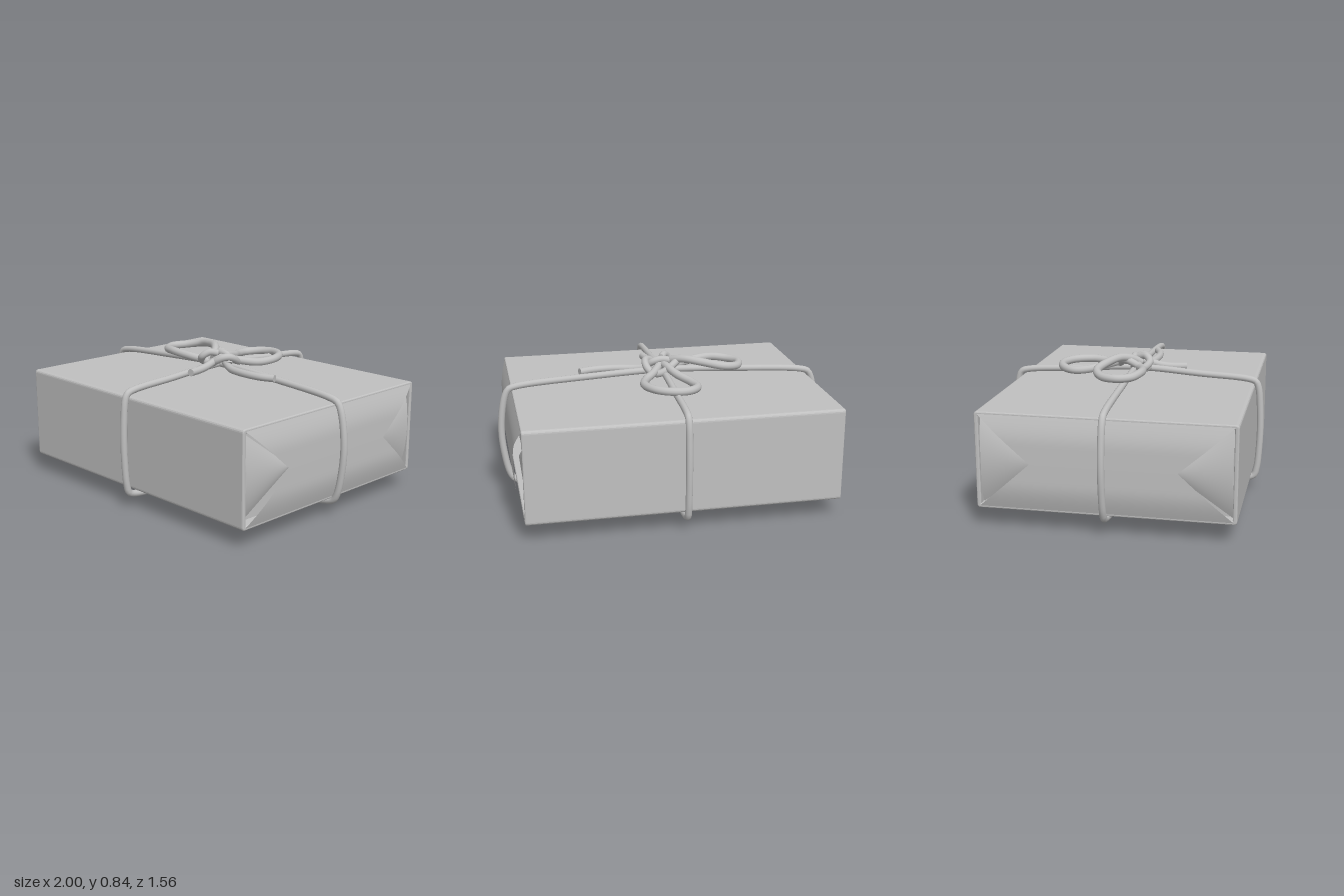
import * as THREE from 'three';

const V = (x, y, z) => new THREE.Vector3(x, y, z);

// Curved sheet from a rule f(u, v); the front lies on the side of du x dv
function sheet(f, nu, nv) {
  const pos = [], index = [];
  for (let i = 0; i <= nu; i++) {
    for (let j = 0; j <= nv; j++) pos.push(...f(i / nu, j / nv));
  }
  for (let i = 0; i < nu; i++) {
    for (let j = 0; j < nv; j++) {
      const a = i * (nv + 1) + j, b = a + nv + 1;
      index.push(a, b, b + 1, a, b + 1, a + 1);
    }
  }
  const g = new THREE.BufferGeometry();
  g.setAttribute('position', new THREE.Float32BufferAttribute(pos, 3));
  g.setIndex(index);
  g.computeVertexNormals();
  return g;
}

function roundedRect(shape, w, h, r) {
  shape.moveTo(-w + r, -h);
  shape.lineTo(w - r, -h).quadraticCurveTo(w, -h, w, -h + r);
  shape.lineTo(w, h - r).quadraticCurveTo(w, h, w - r, h);
  shape.lineTo(-w + r, h).quadraticCurveTo(-w, h, -w, h - r);
  shape.lineTo(-w, -h + r).quadraticCurveTo(-w, -h, -w + r, -h);
  return shape;
}

export function createModel() {
  const model = new THREE.Group();
  model.name = 'wrappedParcel';
  const grey = new THREE.MeshStandardMaterial({ color: 0xc0c0c0 });
  grey.name = 'plainGrey';

  const add = (parent, name, geometry) => {
    const m = new THREE.Mesh(geometry, grey);
    m.name = name;
    parent.add(m);
    return m;
  };

  // Paper sleeve around the box, open at both ends
  const midY = 0.385;
  const outline = roundedRect(new THREE.Shape(), 0.712, 0.267, 0.012);
  outline.holes.push(roundedRect(new THREE.Path(), 0.704, 0.259, 0.01));
  const sleeve = new THREE.ExtrudeGeometry(outline, {
    depth: 1.8, bevelEnabled: true, bevelSize: 0.008, bevelThickness: 0.008, bevelSegments: 3, curveSegments: 4,
  });
  sleeve.translate(0, 0, -0.9).rotateY(Math.PI / 2);
  add(model, 'paperSleeve', sleeve).position.y = midY;

  // Folded ends: inner panel, two tucked side folds, two overlapping flaps
  for (const side of [1, -1]) {
    const end = new THREE.Group();
    end.name = side > 0 ? 'leftEnd' : 'rightEnd';
    end.position.y = midY;
    end.rotation.y = side > 0 ? 0 : Math.PI;
    model.add(end);
    add(end, 'innerPanel', new THREE.BoxGeometry(0.01, 0.53, 1.41)).position.x = 0.835;

    for (const s of [1, -1]) {
      // Side fold narrows from the upright edge to its point under the flaps
      const fold = sheet((u, v) => {
        const t = s > 0 ? 1 - v : v;
        const k = 2 * u - 1;
        const bow = 0.018 * (1 - k * k) * (1 - t);
        return [0.904 - 0.05 * k * k * (1 - t), k * 0.265 * (1 - t), s * (0.708 - bow - (0.35 - bow) * t)];
      }, 16, 10);
      add(end, 'sideFold', fold);

      // Flap leans outward from the long edge and narrows towards the seam
      const lap = s > 0 ? 0 : 0.008;
      const flap = sheet((u, v) => {
        const t = s > 0 ? 1 - u : u;
        const x = 0.906 + 0.034 * Math.sin(Math.min(1, t * 1.7) * Math.PI / 2) + (s > 0 ? 0.003 * t : 0);
        const y = s > 0 ? 0.268 * (1 - t) : -0.268 + (0.268 + lap) * t;
        return [x, y, (2 * v - 1) * (0.708 - 0.308 * t)];
      }, 12, 6);
      add(end, s > 0 ? 'topFlap' : 'bottomFlap', flap);
    }
  }

  // String: round tube through points, with flat caps on open ends
  function string(name, points, radius, closed = false) {
    const group = new THREE.Group();
    group.name = name;
    model.add(group);
    const curve = new THREE.CatmullRomCurve3(points, closed, 'centripetal');
    add(group, name + 'Tube', new THREE.TubeGeometry(curve, points.length * 9, radius, 12, closed));
    if (closed) return;
    for (const t of [0, 1]) {
      const dir = curve.getTangentAt(t).multiplyScalar(t ? 1 : -1);
      const cap = add(group, name + 'Cap', new THREE.CircleGeometry(radius, 12));
      cap.position.copy(curve.getPointAt(t));
      cap.quaternion.setFromUnitVectors(V(0, 0, 1), dir);
    }
  }

  // Two slack strings around the parcel, each mirrored from a half profile
  const wrap = (half, toPoint) => [
    ...half.map(([a, y]) => toPoint(a, y)),
    ...half.slice(1, -1).reverse().map(([a, y]) => toPoint(-a, y)),
  ];
  const longHalf = [
    [0, 0.022], [0.45, 0.043], [0.86, 0.082], [0.915, 0.1], [0.94, 0.14], [0.968, 0.27], [0.979, 0.4],
    [0.97, 0.53], [0.948, 0.63], [0.925, 0.67], [0.87, 0.687], [0.45, 0.717], [0, 0.735],
  ];
  const shortHalf = [
    [0, 0.057], [0.4, 0.062], [0.69, 0.075], [0.73, 0.092], [0.745, 0.14], [0.756, 0.27], [0.759, 0.4],
    [0.754, 0.53], [0.742, 0.64], [0.725, 0.677], [0.68, 0.692], [0.4, 0.711], [0, 0.735],
  ];
  string('longString', wrap(longHalf, (a, y) => V(a, y, 0)), 0.02, true);
  string('shortString', wrap(shortHalf, (a, y) => V(0, y, a)), 0.02, true);

  // Bow loops
  string('backLoop', [
    V(0.01, 0.76, 0.03), V(-0.01, 0.775, -0.06), V(-0.05, 0.755, -0.17), V(-0.115, 0.735, -0.27),
    V(-0.135, 0.73, -0.36), V(-0.08, 0.735, -0.435), V(0.01, 0.74, -0.457), V(0.11, 0.742, -0.41),
    V(0.162, 0.74, -0.3), V(0.135, 0.735, -0.19), V(0.07, 0.75, -0.1), V(0.02, 0.77, -0.02),
  ], 0.024);
  string('sideLoop', [
    V(-0.02, 0.77, 0.03), V(-0.06, 0.8, -0.02), V(-0.12, 0.815, -0.075), V(-0.22, 0.805, -0.13),
    V(-0.34, 0.785, -0.165), V(-0.43, 0.77, -0.12), V(-0.462, 0.768, -0.03), V(-0.42, 0.768, 0.045),
    V(-0.32, 0.775, 0.085), V(-0.2, 0.765, 0.075), V(-0.1, 0.752, 0.04), V(-0.02, 0.76, 0.01),
  ], 0.024);

  // Loose tails
  string('sideTail', [
    V(0, 0.765, -0.03), V(0.08, 0.745, 0.02), V(0.16, 0.735, 0.06), V(0.29, 0.735, 0.083),
    V(0.41, 0.735, 0.075), V(0.495, 0.735, 0.045),
  ], 0.022);
  string('frontTail', [
    V(0.02, 0.78, -0.01), V(0.028, 0.765, 0.07), V(0.038, 0.745, 0.15), V(0.05, 0.738, 0.22),
    V(0.065, 0.738, 0.3),
  ], 0.022);

  // Knot: wavy ring with strands crossing over it
  const ring = [];
  for (let i = 0; i < 16; i++) {
    const a = i / 16 * Math.PI * 2;
    ring.push(V(0.01 + 0.095 * Math.cos(a), 0.765 + 0.028 * Math.sin(2 * a + 0.6), -0.01 + 0.088 * Math.sin(a)));
  }
  string('knotRing', ring, 0.022, true);
  string('knotCrossStrand', [
    V(-0.08, 0.755, 0), V(-0.045, 0.79, -0.01), V(0.01, 0.802, -0.012), V(0.06, 0.79, -0.01), V(0.1, 0.75, 0.02),
  ], 0.022);
  string('knotFrontStrand', [
    V(-0.085, 0.735, 0.02), V(-0.085, 0.755, 0.07), V(-0.055, 0.785, 0.092), V(-0.025, 0.81, 0.065),
    V(0.0, 0.802, 0.02),
  ], 0.022);

  return model;
}
